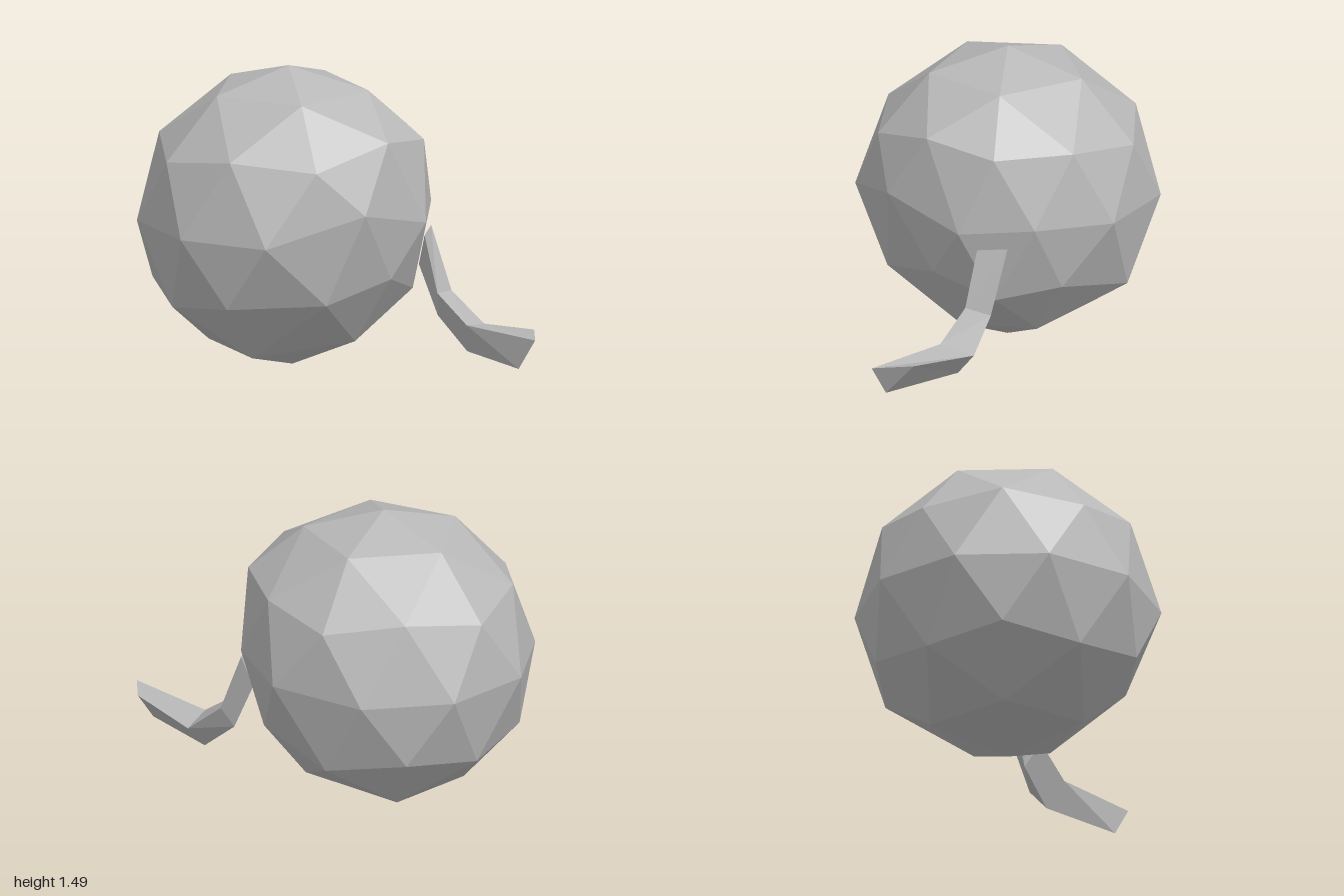
import * as THREE from 'three';

const gray = new THREE.MeshStandardMaterial({ color: 0xb8b8b8, flatShading: true });
gray.name = 'gray';

// Faceted ball standing on one vertex, with slightly dented facets around the tail side
function makeBody() {
  const radius = 0.745;
  const geo = new THREE.IcosahedronGeometry(radius, 1);
  geo.rotateZ(-Math.atan(2 / (1 + Math.sqrt(5))));
  geo.translate(-0.29, radius, 0);
  const dents = [
    [0.375, 1.145, 0], [0.25, 1.2, 0.34], [-0.06, 1.1, 0.61],
    [0.41, 0.77, 0.17], [0.38, 0.79, -0.2], [0.17, 0.88, 0.54], [0.17, 0.765, -0.565],
    [0.26, 0.515, 0.31], [0.25, 0.455, -0.32], [0.32, 0.4, 0], [-0.02, 0.43, 0.56],
    [0.065, 0.16, -0.18], [0.065, 0.17, 0.19], [-0.27, 0, 0],
  ].map((p) => new THREE.Vector3(...p));
  const pos = geo.attributes.position;
  const v = new THREE.Vector3();
  for (let i = 0; i < pos.count; i++) {
    v.fromBufferAttribute(pos, i);
    const target = dents.find((d) => d.distanceTo(v) < 0.18);
    if (target) pos.setXYZ(i, target.x, target.y, target.z);
  }
  geo.computeVertexNormals();
  return geo;
}

// Tail: a triangular section (back edge, front edge, lower edge) swept through two bends
function makeTail() {
  const sections = [
    [[0.4, 0.7, -0.07], [0.39, 0.685, 0.08], [0.35, 0.52, 0]],
    [[0.51, 0.395, 0], [0.46, 0.41, 0.13], [0.45, 0.28, 0.05]],
    [[0.68, 0.25, 0.065], [0.62, 0.28, 0.235], [0.61, 0.13, 0.15]],
    [[0.965, 0.295, 0.33], [1, 0.29, 0.53], [0.91, 0.13, 0.47]],
  ];
  const points = [];
  const tri = (a, b, c) => points.push(...a, ...b, ...c);
  for (let i = 0; i < sections.length - 1; i++) {
    for (let k = 0; k < 3; k++) {
      const n = (k + 1) % 3;
      const [s, e] = [sections[i], sections[i + 1]];
      tri(s[k], s[n], e[n]);
      tri(s[k], e[n], e[k]);
    }
  }
  // End caps
  const [first, last] = [sections[0], sections[sections.length - 1]];
  tri(first[2], first[1], first[0]);
  tri(last[0], last[1], last[2]);
  const geo = new THREE.BufferGeometry();
  geo.setAttribute('position', new THREE.Float32BufferAttribute(points, 3));
  geo.computeVertexNormals();
  return geo;
}

export function createModel() {
  const group = new THREE.Group();
  group.name = 'facetedBallWithTail';
  const add = (name, geo) => {
    const mesh = new THREE.Mesh(geo, gray);
    mesh.name = name;
    group.add(mesh);
  };
  add('body', makeBody());
  add('tail', makeTail());
  return group;
}
